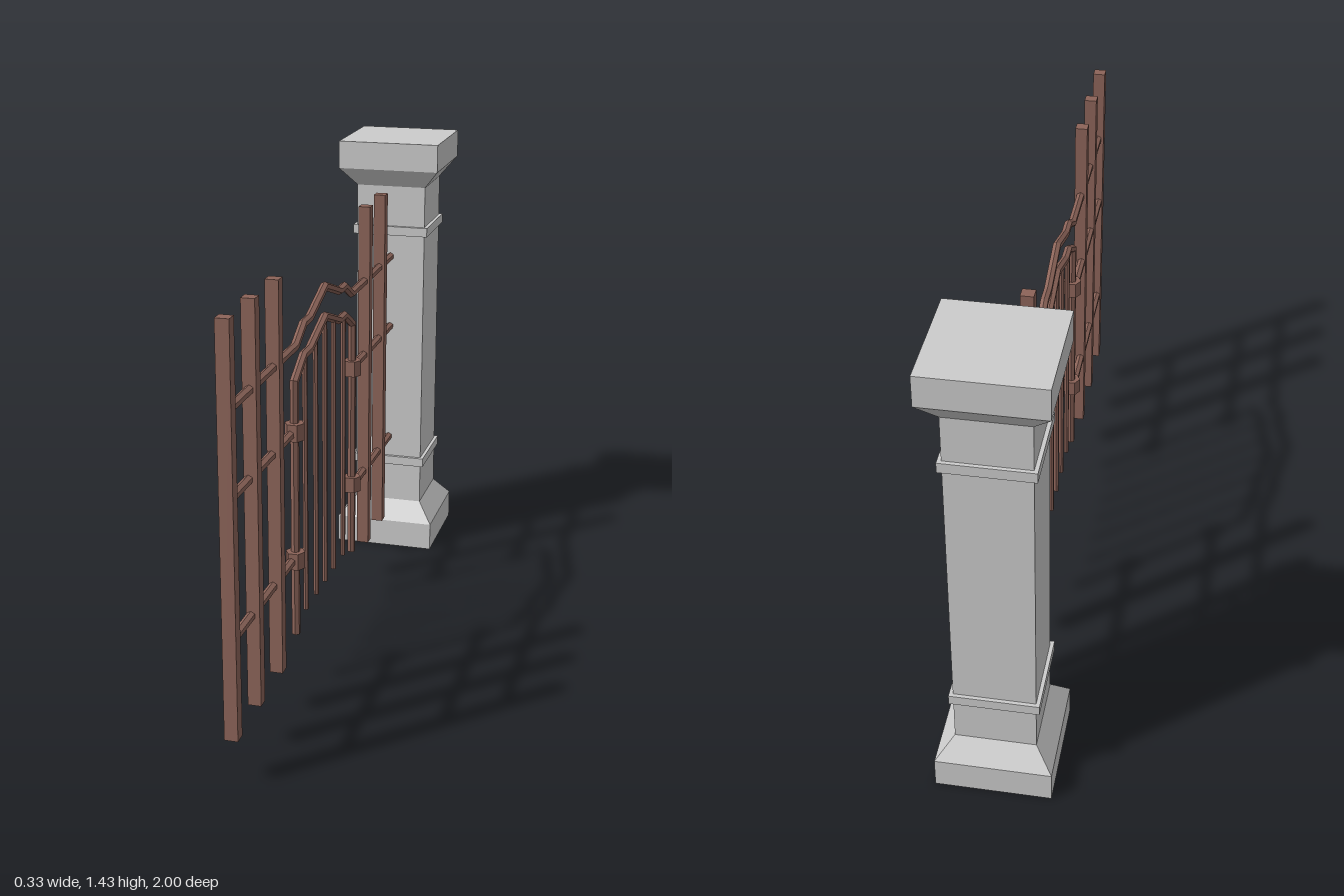
import * as THREE from 'three';

const stone = new THREE.MeshStandardMaterial({ color: 0xcccccc, flatShading: true });
const iron = new THREE.MeshStandardMaterial({ color: 0x8c6459, flatShading: true });

function flat(geometry) {
  const g = geometry.toNonIndexed();
  g.computeVertexNormals();
  return g;
}

// Mitred bar with a polygonal section, swept along [z, y] points in the plane of the fence
function sweep(path, radius, sides = 6) {
  const pts = path.map(([z, y]) => new THREE.Vector2(z, y));
  const pos = [], idx = [];
  pts.forEach((p, i) => {
    const before = p.clone().sub(pts[Math.max(i - 1, 0)]).normalize();
    const after = pts[Math.min(i + 1, pts.length - 1)].clone().sub(p).normalize();
    const dir = before.clone().add(after).normalize();
    const mitre = radius / dir.dot(i ? before : after);
    for (let j = 0; j < sides; j++) {
      const a = (j / sides) * Math.PI * 2;
      const n = Math.cos(a) * mitre;
      pos.push(Math.sin(a) * radius, p.y - dir.x * n, p.x + dir.y * n);
    }
  });
  const last = (pts.length - 1) * sides;
  for (let i = 0; i < last; i += sides) {
    for (let j = 0; j < sides; j++) {
      const k = (j + 1) % sides;
      idx.push(i + j, i + k, i + sides + k, i + j, i + sides + k, i + sides + j);
    }
  }
  for (let j = 1; j < sides - 1; j++) {
    idx.push(0, j + 1, j, last, last + j, last + j + 1);
  }
  const g = new THREE.BufferGeometry();
  g.setAttribute('position', new THREE.Float32BufferAttribute(pos, 3));
  g.setIndex(idx);
  return flat(g);
}

export function createModel() {
  const model = new THREE.Group();
  model.name = 'fenceWithGate';

  const add = (name, geometry, material, x = 0, y = 0, z = 0, parent = model) => {
    const mesh = new THREE.Mesh(geometry, material);
    mesh.name = name;
    mesh.position.set(x, y, z);
    parent.add(mesh);
    return mesh;
  };

  // Square stone pillar: half-width and height of each step
  const profile = [
    [0, 0], [0.167, 0], [0.167, 0.093], [0.116, 0.157],
    [0.116, 0.292], [0.127, 0.292], [0.127, 0.322], [0.116, 0.322],
    [0.116, 1.115], [0.127, 1.115], [0.127, 1.145], [0.116, 1.145],
    [0.116, 1.28], [0.167, 1.342], [0.167, 1.432], [0, 1.432],
  ].map(([w, y]) => new THREE.Vector2(w * Math.SQRT2, y));
  add('pillar', flat(new THREE.LatheGeometry(profile, 4, Math.PI / 4)), stone, 0, 0, -0.833);

  // Upright square posts
  const postGeometry = new THREE.BoxGeometry(0.038, 1.145, 0.036);
  for (const z of [0.982, 0.786, 0.589, -0.378, -0.575]) {
    add('post', postGeometry, iron, 0, 0.708, z);
  }

  // Top rail rising in an arch over the gate
  add('topRail', sweep([
    [0.97, 1.04], [0.4, 1.04], [0.32, 1.084], [0.26, 1.084], [0.1, 1.138],
    [-0.06, 1.084], [-0.12, 1.084], [-0.2, 1.04], [-0.72, 1.04],
  ], 0.013), iron);

  // Straight rails either side of the gate
  add('frontUpperRail', sweep([[0.97, 0.796], [0.41, 0.79]], 0.013), iron, -0.006);
  add('frontLowerRail', sweep([[0.97, 0.406], [0.41, 0.402]], 0.013), iron, -0.006);
  add('rearUpperRail', sweep([[-0.215, 0.795], [-0.72, 0.795]], 0.013), iron);
  add('rearLowerRail', sweep([[-0.215, 0.393], [-0.72, 0.393]], 0.013), iron);

  // Gate: arched frame, thin bars and hinge collars
  const gate = new THREE.Group();
  gate.name = 'gate';
  model.add(gate);
  add('gateFrame', sweep([
    [0.41, 0.165], [0.41, 0.94], [0.32, 0.992], [0.26, 0.992], [0.1, 1.047],
    [-0.06, 0.992], [-0.12, 0.992], [-0.215, 0.94], [-0.215, 0.165],
  ], 0.013), iron, 0, 0, 0, gate);

  for (const [z, top] of [[0.307, 0.992], [0.198, 1.01], [0.1, 1.04], [0.002, 1.01], [-0.109, 0.992]]) {
    add('gateBar', sweep([[z, 0.196], [z, top]], 0.008), iron, 0, 0, 0, gate);
  }

  const collar = flat(new THREE.CylinderGeometry(0.029, 0.029, 0.05, 6).rotateY(Math.PI / 6));
  for (const z of [0.411, -0.217]) {
    for (const y of [0.795, 0.403]) add('hingeCollar', collar, iron, 0, y, z, gate);
  }

  return model;
}
